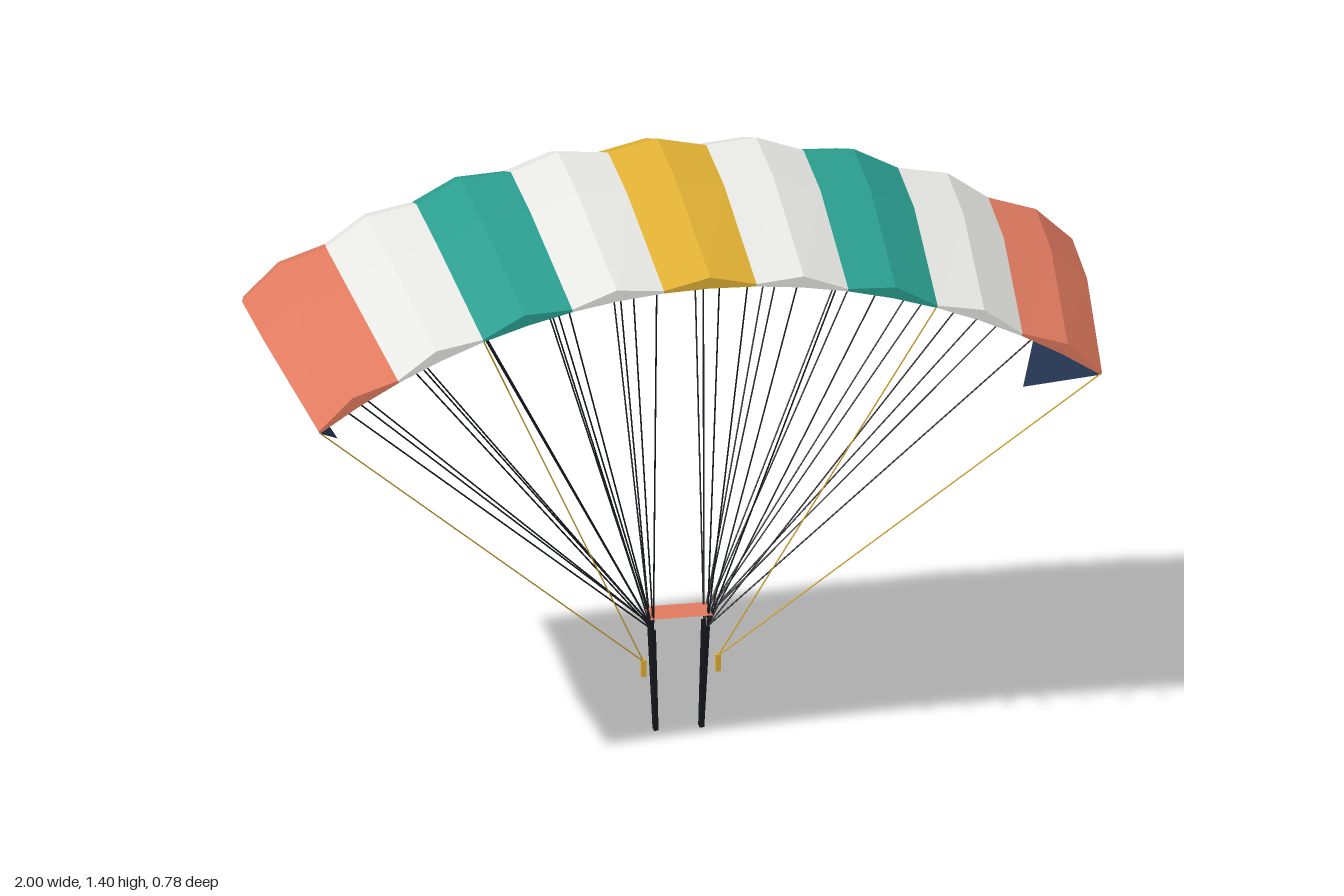
import * as THREE from 'three';

const mat = (name, color, side = THREE.FrontSide) => {
  const m = new THREE.MeshStandardMaterial({ color, side });
  m.name = name;
  m.flatShading = true;
  return m;
};

// Canopy arc: circle of radius R centred at height CY, nine equal cells
const R = 1.645, CY = -0.37, HALF = 0.608, CELLS = 9, STEP = (2 * HALF) / CELLS;
const BULGE = 0.022;
// Aerofoil stations from trailing edge to nose: z and thickness
const PROFILE = [[0.39, 0.006], [-0.03, 0.09], [-0.25, 0.105], [-0.39, 0.05]];

const onArc = (t, lift, z) =>
  new THREE.Vector3((R + lift) * Math.sin(t), CY + (R + lift) * Math.cos(t), z);

// Flat-faced geometry from polygons given counter-clockwise
function facesGeometry(faces) {
  const pos = [];
  for (const f of faces)
    for (let i = 1; i < f.length - 1; i++)
      for (const v of [f[0], f[i], f[i + 1]]) pos.push(v.x, v.y, v.z);
  const g = new THREE.BufferGeometry();
  g.setAttribute('position', new THREE.Float32BufferAttribute(pos, 3));
  g.computeVertexNormals();
  return g;
}

export function createModel() {
  const gold = mat('gold', 0xe0b034);
  const coral = mat('coral', 0xe07a5f, THREE.DoubleSide);
  const teal = mat('teal', 0x2a9d8f);
  const white = mat('off white', 0xe6e6e2);
  const navy = mat('navy', 0x24344f, THREE.DoubleSide);
  const black = mat('line black', 0x16181c);

  const model = new THREE.Group();
  model.name = 'parachute';
  const add = (parent, name, geometry, material) => {
    const m = new THREE.Mesh(geometry, material);
    m.name = name;
    parent.add(m);
    return m;
  };
  const group = (name) => {
    const g = new THREE.Group();
    g.name = name;
    model.add(g);
    return g;
  };

  // Canopy cells, each with a raised middle
  const canopy = group('canopy');
  const colours = [gold, white, teal, white, coral];
  const noseFaces = [];
  for (let c = 0; c < CELLS; c++) {
    const faces = [];
    for (let h = 0; h < 2; h++) {
      const t0 = -HALF + (c + h / 2) * STEP, t1 = t0 + STEP / 2;
      const b0 = h ? BULGE : 0, b1 = h ? 0 : BULGE;
      const top = PROFILE.map(([z, k]) => [onArc(t0, k + b0, z), onArc(t1, k + b1, z)]);
      const low = PROFILE.map(([z]) => [onArc(t0, 0, z), onArc(t1, 0, z)]);
      for (let i = 0; i < 3; i++) {
        faces.push([top[i][0], top[i][1], top[i + 1][1], top[i + 1][0]]);
        faces.push([low[i][1], low[i][0], low[i + 1][0], low[i + 1][1]]);
      }
      faces.push([low[0][0], low[0][1], top[0][1], top[0][0]]);
      noseFaces.push([low[3][1], low[3][0], top[3][0], top[3][1]]);
    }
    add(canopy, 'canopyCell', facesGeometry(faces), colours[Math.abs(c - 4)]);
  }
  add(canopy, 'noseOpenings', facesGeometry(noseFaces), navy);

  // End ribs and the hanging stabiliser panels
  for (const s of [-1, 1]) {
    const t = s * HALF;
    const rib = [
      onArc(t, 0, 0.39), onArc(t, 0, -0.39),
      ...PROFILE.slice().reverse().map(([z, k]) => onArc(t, k, z)),
    ];
    const panel = [
      onArc(t, 0, 0.39), new THREE.Vector3(s * 0.825, 0.815, 0.03), onArc(t, 0, -0.25),
    ];
    if (s < 0) { rib.reverse(); panel.reverse(); }
    add(canopy, 'endRib', facesGeometry([rib]), navy);
    add(canopy, 'stabiliser', facesGeometry([panel]), navy);
  }

  // Thin cord between two points
  const cord = (parent, name, a, b, material, radius = 0.002) => {
    const m = add(parent, name, new THREE.CylinderGeometry(radius, radius, a.distanceTo(b), 5), material);
    m.position.copy(a).lerp(b, 0.5);
    m.quaternion.setFromUnitVectors(new THREE.Vector3(0, 1, 0), b.clone().sub(a).normalize());
  };

  const lines = group('suspensionLines');
  const risers = group('risers');
  const brakes = group('brakes');
  for (const s of [-1, 1]) {
    const ends = [
      { foot: 0.011, head: 0.029, rows: [[-0.03, 5], [0.3, 2]] },
      { foot: 0, head: -0.015, rows: [[-0.385, 5], [-0.25, 5]] },
    ];
    for (const { foot, head, rows } of ends) {
      // Webbing riser
      const a = new THREE.Vector3(s * 0.055, 0.003, foot);
      const b = new THREE.Vector3(s * 0.065, 0.265, head);
      const strap = add(risers, 'riser', new THREE.BoxGeometry(0.011, a.distanceTo(b), 0.008), black);
      strap.position.copy(a).lerp(b, 0.5);
      strap.quaternion.setFromUnitVectors(new THREE.Vector3(0, 1, 0), b.clone().sub(a).normalize());
      // Lines fanning out to the ribs
      for (const [z, count] of rows)
        for (let r = 0; r < count; r++)
          cord(lines, 'suspensionLine', b, onArc(s * (r + 0.5) * STEP, 0, z), black);
    }
    // Brake toggle and its lines to the trailing edge
    const toggle = new THREE.Vector3(s * 0.09, 0.19, 0.033);
    add(brakes, 'brakeToggle', new THREE.BoxGeometry(0.012, 0.042, 0.012), gold)
      .position.set(s * 0.09, 0.173, 0.033);
    for (const r of [2, 4])
      cord(brakes, 'brakeLine', toggle, onArc(s * (r + 0.5) * STEP, 0, 0.385), gold, 0.0018);
  }

  // Fabric slider above the risers
  const slider = add(model, 'slider', new THREE.PlaneGeometry(0.15, 0.085), coral);
  slider.rotation.x = -Math.PI / 2;
  slider.position.set(0, 0.3, 0.006);

  return model;
}
